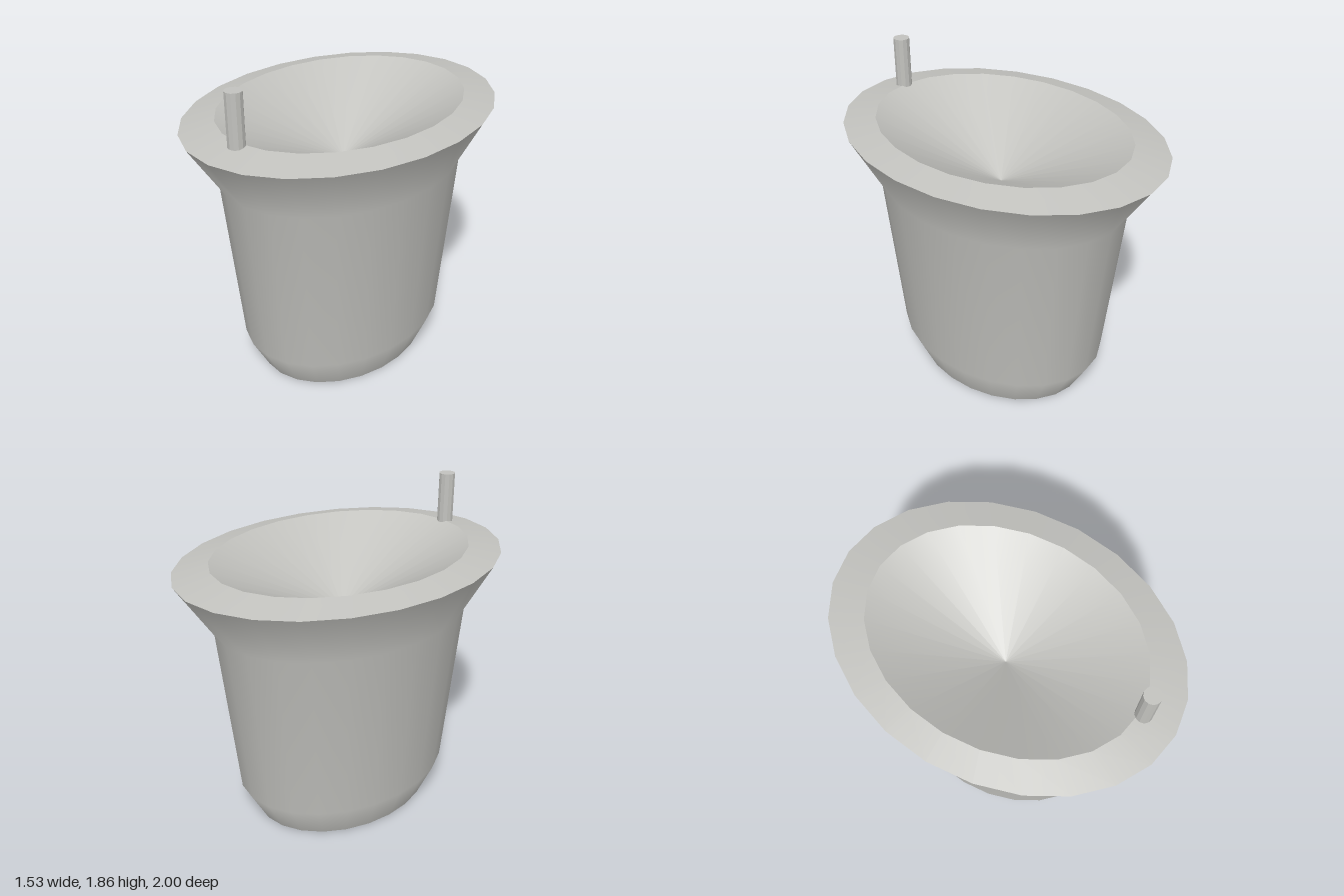
import * as THREE from 'three';

const SIDES = 24;
const OVAL = 0.767; // width relative to depth

export function createModel() {
  const group = new THREE.Group();
  const grey = new THREE.MeshStandardMaterial({ color: 0xc2c2be });
  grey.name = 'light grey';

  // Oval ring or shell turned from a [radius, height] profile
  const oval = (name, profile) => {
    const points = profile.map(([r, y]) => new THREE.Vector2(r, y));
    const geometry = new THREE.LatheGeometry(points, SIDES);
    geometry.scale(OVAL, 1, 1);
    const mesh = new THREE.Mesh(geometry, grey);
    mesh.name = name;
    group.add(mesh);
  };

  oval('base', [[0, 0], [0.578, 0]]);
  oval('body', [[0.578, 0], [0.685, 0.2], [0.79, 1.22], [1, 1.54]]);
  oval('rim', [[1, 1.54], [0.79, 1.58]]);
  oval('bowl', [[0.79, 1.58], [0, 1.22]]);

  // Upright pin at the front of the rim
  const pinGeometry = new THREE.CylinderGeometry(0.047, 0.047, 0.295, 12).toNonIndexed();
  pinGeometry.computeVertexNormals();
  const pin = new THREE.Mesh(pinGeometry, grey);
  pin.name = 'pin';
  pin.position.set(0, 1.717, 0.81);
  group.add(pin);

  return group;
}
